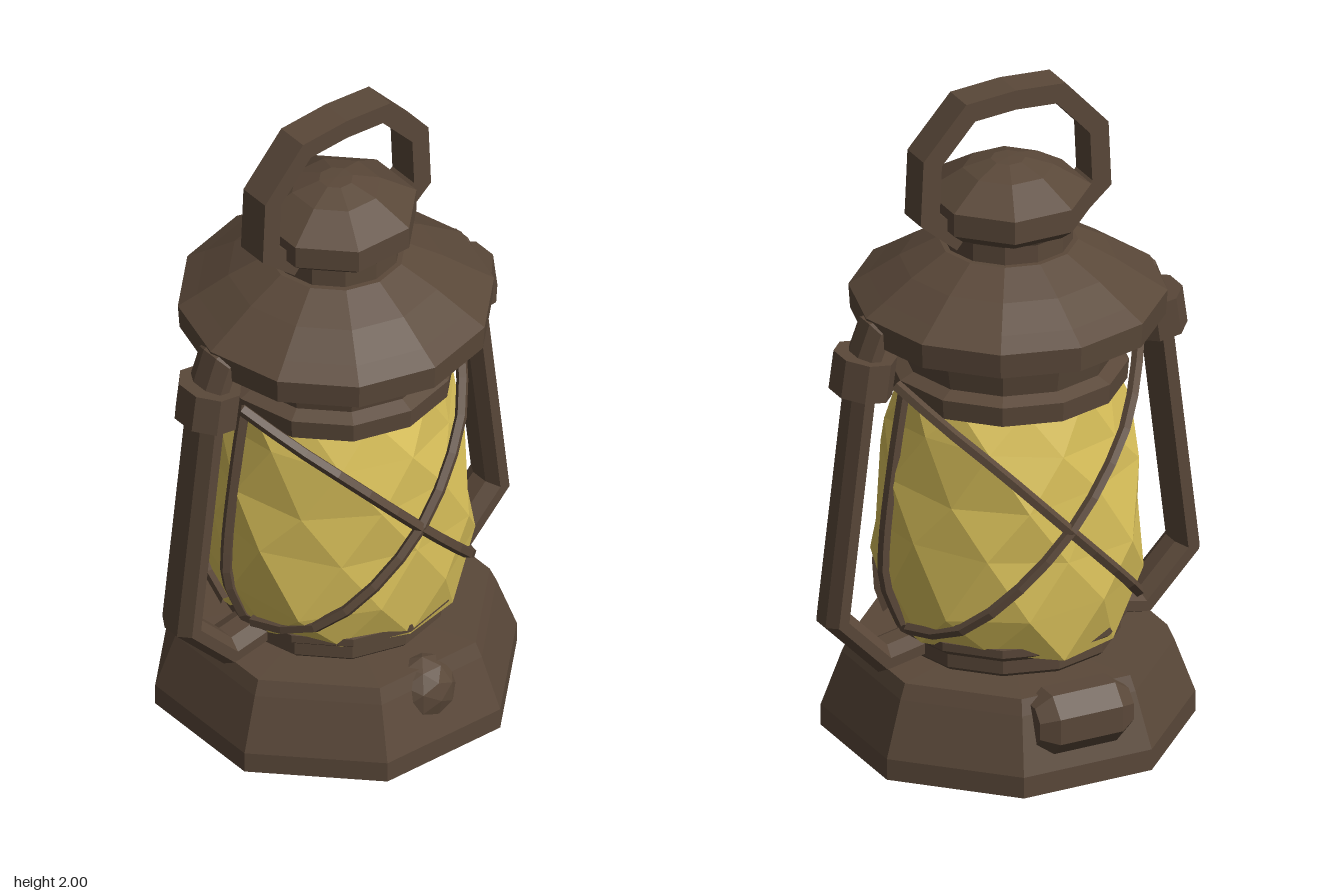
import * as THREE from 'three';

const metal = new THREE.MeshStandardMaterial({ color: 0x5a4839, flatShading: true });
metal.name = 'dark bronze';
const amber = new THREE.MeshStandardMaterial({ color: 0xd9c05a, flatShading: true });
amber.name = 'amber glass';

function part(parent, name, geometry, material = metal) {
  const mesh = new THREE.Mesh(geometry, material);
  mesh.name = name;
  parent.add(mesh);
  return mesh;
}

// Faceted turned part; profile is [radius, y] from bottom to top
function turned(profile, sides, start = 0) {
  return new THREE.LatheGeometry(profile.map(([r, y]) => new THREE.Vector2(r, y)), sides, start);
}

// Sweep an a-by-b section with the given sides along an xy polyline, mitred at bends
function sweep(path, a, b, sides) {
  const pts = path.map(([x, y]) => new THREE.Vector2(x, y));
  const last = pts.length - 1;
  const dir = (i) => pts[i + 1].clone().sub(pts[i]).normalize();
  const pos = [], idx = [];
  const k = 1 / Math.cos(Math.PI / sides);
  pts.forEach((p, i) => {
    const d0 = dir(Math.max(i - 1, 0)), d1 = dir(Math.min(i, last - 1));
    const t = d0.clone().add(d1).normalize();
    const m = a * k / Math.max(t.dot(d1), 0.5);
    for (let j = 0; j < sides; j++) {
      const w = (j + 0.5) / sides * Math.PI * 2;
      const c = Math.cos(w) * m;
      pos.push(p.x - t.y * c, p.y + t.x * c, Math.sin(w) * b * k);
    }
  });
  for (let j = 0; j < sides; j++) {
    const n = (j + 1) % sides;
    for (let i = 0; i < last; i++) {
      const lo = i * sides, hi = lo + sides;
      idx.push(lo + j, lo + n, hi + n, lo + j, hi + n, hi + j);
    }
    if (j > 0 && j < sides - 1) {
      const e = last * sides;
      idx.push(0, j + 1, j, e, e + j, e + j + 1);
    }
  }
  return indexed(pos, idx);
}

function indexed(pos, idx) {
  const g = new THREE.BufferGeometry();
  g.setAttribute('position', new THREE.Float32BufferAttribute(pos, 3));
  g.setIndex(idx);
  g.computeVertexNormals();
  return g;
}

// Triangulated globe: every other ring is turned half a step, radii vary a little
function globe(rings, sides) {
  const pos = [], idx = [];
  rings.forEach(([r, y], i) => {
    for (let j = 0; j < sides; j++) {
      const w = (j + (i % 2) / 2) / sides * Math.PI * 2;
      const rr = r + 0.012 * Math.sin(i * 5.3 + j * 2.7);
      const yy = y + 0.02 * Math.sin(i * 3.1 + j * 4.9);
      pos.push(Math.sin(w) * rr, yy, Math.cos(w) * rr);
    }
  });
  for (let i = 0; i < rings.length - 1; i++) {
    for (let j = 0; j < sides; j++) {
      const n = (j + 1) % sides, lo = i * sides, hi = lo + sides;
      if (i % 2) idx.push(lo + j, lo + n, hi + n, lo + j, hi + n, hi + j);
      else idx.push(lo + j, lo + n, hi + j, lo + n, hi + n, hi + j);
    }
  }
  return indexed(pos, idx);
}

function wire(points) {
  const curve = new THREE.CatmullRomCurve3(points.map((p) => new THREE.Vector3(...p)));
  return new THREE.TubeGeometry(curve, 12, 0.018, 5);
}

export function createModel() {
  const model = new THREE.Group();
  model.name = 'lantern';
  const body = new THREE.Group();
  body.name = 'body';
  body.position.z = 0.02;
  model.add(body);

  // Fuel base and the ring holding the globe
  part(body, 'base', turned([[0, 0], [0.535, 0], [0.535, 0.065], [0.475, 0.23], [0.455, 0.275], [0, 0.285]], 8, Math.PI / 8));
  part(body, 'lowerRing', turned([[0.29, 0.26], [0.32, 0.29], [0.32, 0.33], [0.345, 0.35], [0.345, 0.375], [0.3, 0.385], [0, 0.385]], 12));

  // Glass globe
  part(body, 'globe', globe([[0.34, 0.34], [0.385, 0.49], [0.385, 0.66], [0.37, 0.83], [0.345, 0.98], [0.3, 1.11]], 10), amber);

  // Collar, roof and chimney
  part(body, 'upperRing', turned([[0, 1.08], [0.34, 1.08], [0.345, 1.14], [0.3, 1.16]], 12));
  part(body, 'collar', turned([[0.3, 1.14], [0.33, 1.29]], 12));
  part(body, 'roof', turned([[0, 1.27], [0.43, 1.28], [0.45, 1.285], [0.455, 1.36], [0.4, 1.395], [0.31, 1.455], [0.2, 1.515], [0, 1.525]], 12));
  part(body, 'neck', turned([[0.185, 1.5], [0.185, 1.57], [0.2, 1.6]], 12));
  part(body, 'chimneyCap', turned([[0, 1.57], [0.2, 1.575], [0.238, 1.605], [0.238, 1.675], [0.13, 1.742], [0.05, 1.768], [0, 1.77]], 8, Math.PI / 8));

  // Carrying loop
  const half = [[0.17, 1.56], [0.275, 1.65], [0.267, 1.825], [0.145, 1.96], [0, 1.97]];
  const loop = [...half, ...half.slice(0, -1).reverse().map(([x, y]) => [-x, y])];
  part(body, 'handle', sweep(loop, 0.03, 0.05, 4));

  // Side frame tubes, their clamps and the upright wires
  for (const s of [1, -1]) {
    const side = s > 0 ? 'left' : 'right';
    const flip = (path) => path.map(([x, ...rest]) => [s * x, ...rest]);
    part(body, side + 'FrameTube', sweep(flip([
      [0.36, 1.335], [0.43, 1.32], [0.465, 1.23], [0.56, 0.44], [0.415, 0.29], [0.29, 0.315],
    ]), 0.038, 0.068, 8));
    part(body, side + 'Clamp', sweep(flip([[0.457, 1.25], [0.473, 1.135]]), 0.083, 0.094, 8));
    part(body, side + 'UprightWire', wire(flip([
      [0.33, 1.12, 0], [0.365, 0.9, 0], [0.395, 0.65, 0], [0.395, 0.52, 0], [0.34, 0.375, 0],
    ])));

    // Crossed guard wires over the front and back of the globe
    for (const f of [1, -1]) {
      part(body, (f > 0 ? 'front' : 'back') + (s > 0 ? 'GuardWireA' : 'GuardWireB'), wire([
        [-0.39, 1.16, 0.06], [-0.3, 1.06, 0.2], [-0.2, 0.96, 0.31], [0, 0.75, 0.39],
        [0.2, 0.54, 0.34], [0.3, 0.43, 0.23], [0.35, 0.385, 0.06],
      ].map(([x, y, z]) => [s * x, y, f * z])));
    }
  }

  // Round knob at the front
  const knob = part(body, 'frontKnob', new THREE.IcosahedronGeometry(0.105, 1));
  knob.position.set(0, 0.185, 0.395);
  knob.scale.z = 0.85;

  // Chamfered fuel plug at the back
  const plug = part(body, 'backPlug', turned([[0, -0.15], [0.065, -0.15], [0.102, -0.1], [0.102, 0.1], [0.065, 0.15], [0, 0.15]], 8, Math.PI / 8));
  plug.rotation.z = Math.PI / 2;
  plug.position.set(0, 0.195, -0.435);
  plug.scale.z = 0.9;

  return model;
}
